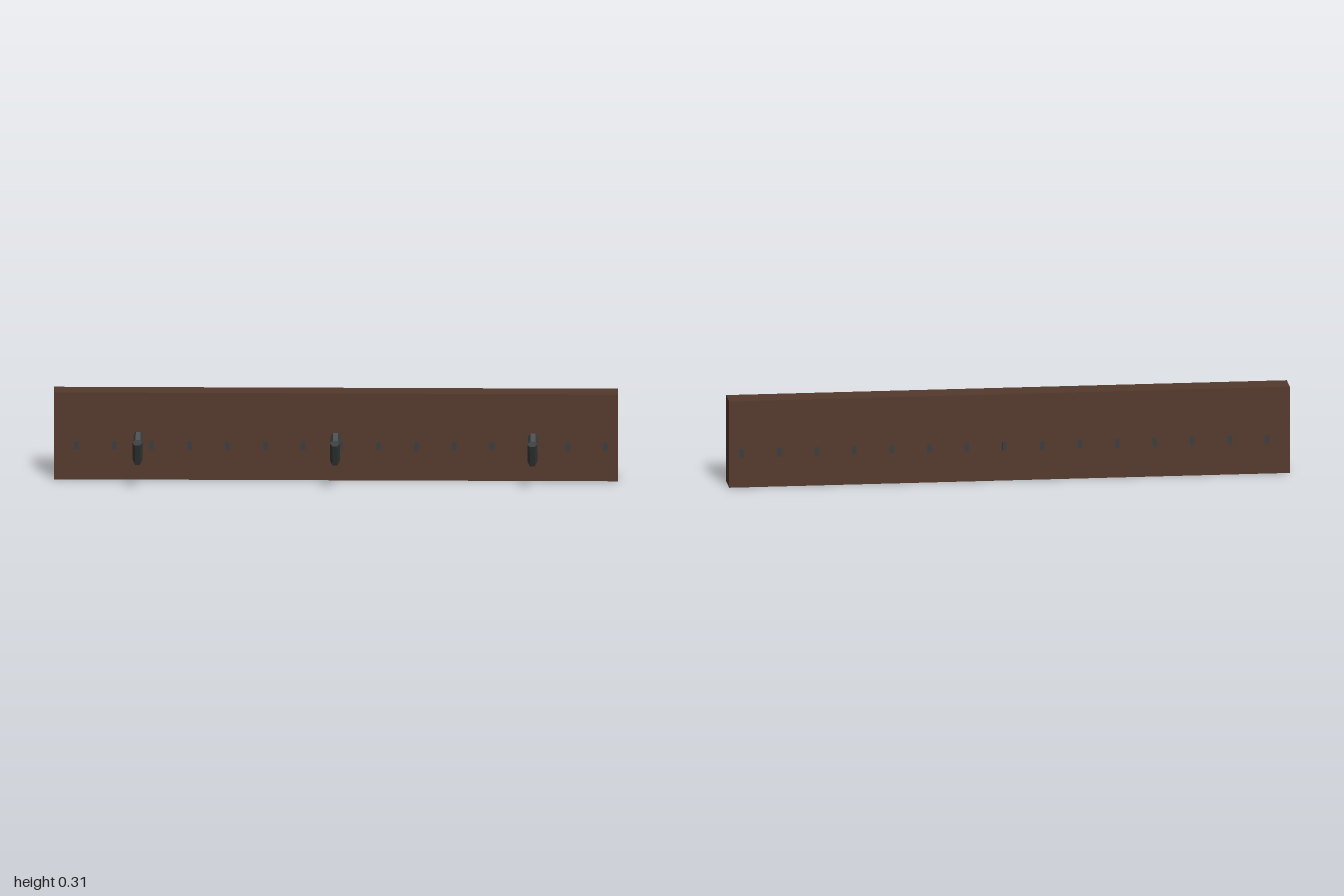
import * as THREE from 'three';

const wood = new THREE.MeshStandardMaterial({ color: 0x54392c });
wood.name = 'brown wood';
const iron = new THREE.MeshStandardMaterial({ color: 0x3a3c3d });
iron.name = 'dark iron';

// Hexagonal bar mitred along a bent path of [z, y] points
const PATH = [[0.138, 0.175], [0.103, 0.105], [0.065, 0.105], [0.03, 0.105], [-0.041, 0.166]];
const RADIUS = 0.0175;
const SIDES = 6;

function hookGeometry() {
  const pts = PATH.map(([z, y]) => new THREE.Vector2(z, y));
  const normals = pts.slice(1).map((p, i) => {
    const t = p.clone().sub(pts[i]).normalize();
    return new THREE.Vector2(t.y, -t.x);
  });
  const rings = pts.map((p, i) => {
    const a = normals[Math.max(i - 1, 0)];
    const b = normals[Math.min(i, normals.length - 1)];
    const n = a.clone().add(b).normalize();
    n.divideScalar(n.dot(a));
    return Array.from({ length: SIDES }, (_, k) => {
      const ang = (k / SIDES) * Math.PI * 2;
      const s = RADIUS * Math.sin(ang);
      return new THREE.Vector3(RADIUS * Math.cos(ang), p.y + n.y * s, p.x + n.x * s);
    });
  });

  const dark = [], brown = [];
  for (let i = 0; i < rings.length - 1; i++) {
    for (let k = 0; k < SIDES; k++) {
      const j = (k + 1) % SIDES;
      const a = rings[i][k], b = rings[i][j], c = rings[i + 1][j], d = rings[i + 1][k];
      // worn brown faces on the upper flanks of the front bend
      const worn = i === 1 && (k === 0 || k === 2);
      (worn ? brown : dark).push(a, c, b, a, d, c);
    }
  }
  // end caps
  const first = rings[0], last = rings[rings.length - 1];
  for (let k = 1; k < SIDES - 1; k++) {
    dark.push(first[0], first[k], first[k + 1], last[0], last[k + 1], last[k]);
  }
  const geo = new THREE.BufferGeometry().setFromPoints([...dark, ...brown]);
  geo.addGroup(0, dark.length, 0);
  geo.addGroup(dark.length, brown.length, 1);
  geo.computeVertexNormals();
  return geo;
}

export function createModel() {
  const model = new THREE.Group();
  model.name = 'wallHookRail';

  function addBox(name, w, h, d, x, y, z, material) {
    const mesh = new THREE.Mesh(new THREE.BoxGeometry(w, h, d), material);
    mesh.position.set(x, y, z);
    mesh.name = name;
    model.add(mesh);
  }

  // Backboard
  addBox('backboard', 2, 0.315, 0.096, 0, 0.1575, -0.105, wood);

  // Row of small iron studs on the front and back, and a plate on each end
  for (let i = 0; i < 15; i++) {
    const x = -0.92 + i * 0.134;
    addBox('frontStud', 0.016, 0.03, 0.002, x, 0.125, -0.057, iron);
    addBox('backStud', 0.016, 0.03, 0.002, x, 0.125, -0.153, iron);
  }
  for (const side of [-1, 1]) {
    addBox('endPlate', 0.002, 0.042, 0.032, side * 0.9992, 0.122, -0.08, iron);
  }

  // Three bent hooks
  const hook = hookGeometry();
  for (const x of [-0.7, 0, 0.7]) {
    const mesh = new THREE.Mesh(hook, [iron, wood]);
    mesh.position.x = x;
    mesh.name = 'hook';
    model.add(mesh);
  }
  return model;
}
